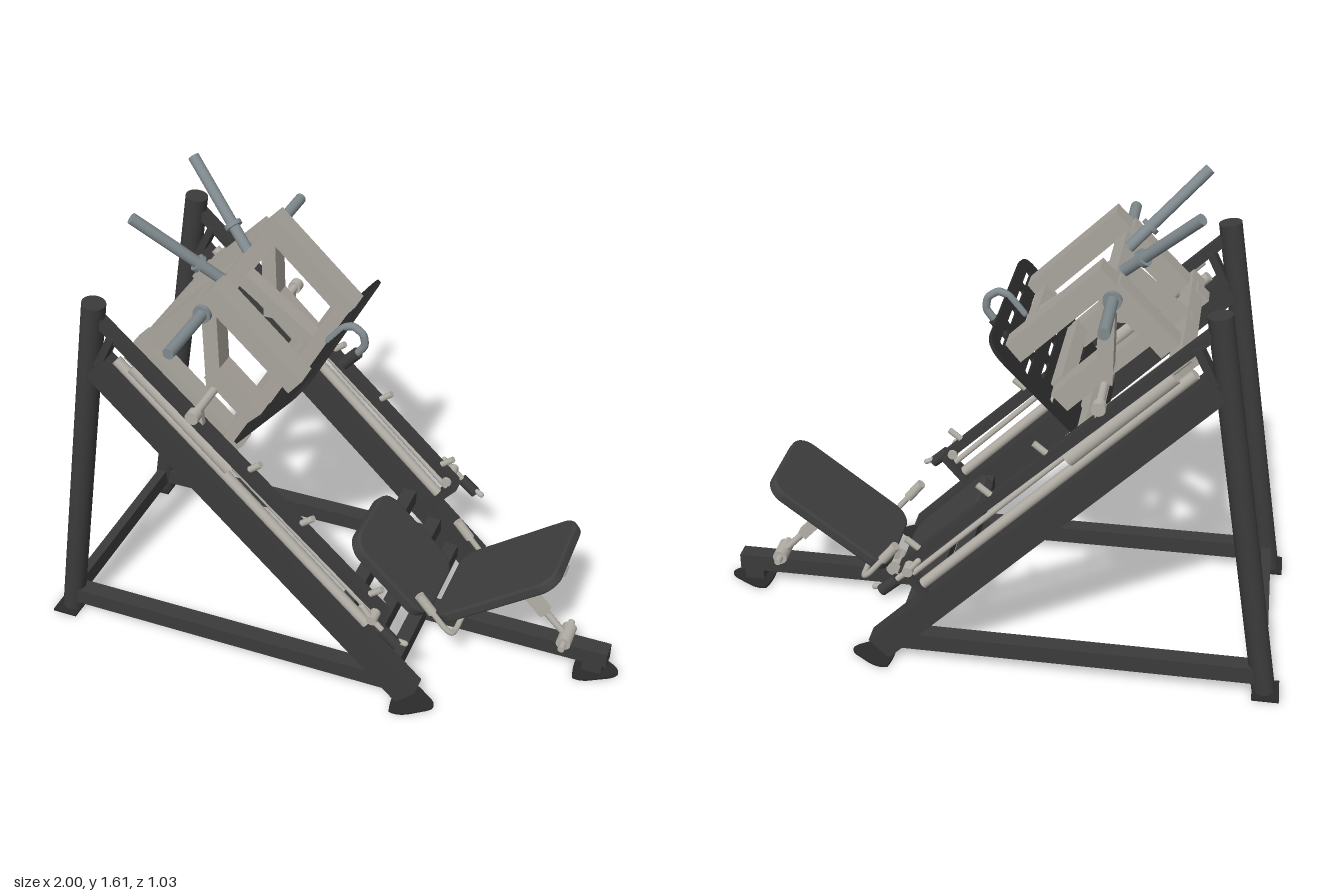
import * as THREE from 'three';

const mat = (color) => new THREE.MeshStandardMaterial({ color });
const V = (p) => new THREE.Vector3(...p);

export function createModel() {
  const root = new THREE.Group();
  const frame = mat(0x3b3b3b), pad = mat(0x404040), beige = mat(0xa9a49d);
  const steel = mat(0xb3afa7), horn = mat(0x7f898d), dark = mat(0x2b2b2b);

  const add = (name, geo, m, parent = root) => {
    const mesh = new THREE.Mesh(geo, m);
    mesh.name = name;
    parent.add(mesh);
    return mesh;
  };
  // Rectangular tube between two points of the side plane, at depth z
  const bar = (name, m, a, b, h, w, z = 0) => {
    const dx = b[0] - a[0], dy = b[1] - a[1];
    const mesh = add(name, new THREE.BoxGeometry(Math.hypot(dx, dy), h, w), m);
    mesh.position.set((a[0] + b[0]) / 2, (a[1] + b[1]) / 2, z);
    mesh.rotation.z = Math.atan2(dy, dx);
    return mesh;
  };
  // Rectangular tube running across the machine, from -half to +half
  const cross = (name, m, x, y, w, h, half, tilt = 0) => {
    const mesh = add(name, new THREE.BoxGeometry(w, h, half * 2), m);
    mesh.position.set(x, y, 0);
    mesh.rotation.z = tilt;
    return mesh;
  };
  // Round rod between two points
  const rod = (name, m, a, b, r, seg = 20) => {
    const d = V(b).sub(V(a));
    const mesh = add(name, new THREE.CylinderGeometry(r, r, d.length(), seg), m);
    mesh.position.copy(V(a)).addScaledVector(d, 0.5);
    mesh.quaternion.setFromUnitVectors(new THREE.Vector3(0, 1, 0), d.normalize());
    return mesh;
  };
  // Bent round tube with capped ends
  const bent = (name, m, pts, r) => {
    const curve = new THREE.CatmullRomCurve3(pts.map(V), false, 'catmullrom', 0.3);
    add(name, new THREE.TubeGeometry(curve, 40, r, 12), m);
    for (const p of [pts[0], pts[pts.length - 1]])
      add(name + 'End', new THREE.SphereGeometry(r, 12, 8), m).position.set(...p);
  };
  const roundedShape = (w, h, r) => {
    const s = new THREE.Shape();
    s.absarc(w / 2 - r, h / 2 - r, r, 0, Math.PI / 2);
    s.absarc(-w / 2 + r, h / 2 - r, r, Math.PI / 2, Math.PI);
    s.absarc(-w / 2 + r, -h / 2 + r, r, Math.PI, Math.PI * 1.5);
    s.absarc(w / 2 - r, -h / 2 + r, r, Math.PI * 1.5, Math.PI * 2);
    s.closePath();
    return s;
  };
  // Upholstered pad: width along z, length along the slope angle
  const cushion = (name, x, y, width, len, thick, angle) => {
    const b = 0.009;
    const geo = new THREE.ExtrudeGeometry(roundedShape(len - 2 * b, width - 2 * b, 0.06), {
      depth: thick - 2 * b, bevelSize: b, bevelThickness: b, bevelSegments: 3, curveSegments: 10 });
    geo.translate(0, 0, b - thick / 2).rotateX(-Math.PI / 2);
    const mesh = add(name, geo, pad);
    mesh.position.set(x, y, 0);
    mesh.rotation.z = angle;
  };
  // Teardrop floor plate, wide end at x, point towards +x
  const footPlate = (x, z, len) => {
    const s = new THREE.Shape();
    s.moveTo(0, -0.075);
    s.quadraticCurveTo(0.03, -0.085, 0.07, -0.06);
    s.lineTo(len - 0.03, -0.035);
    s.quadraticCurveTo(len + 0.03, 0, len - 0.03, 0.035);
    s.lineTo(0.07, 0.06);
    s.quadraticCurveTo(0.03, 0.085, 0, 0.075);
    s.quadraticCurveTo(-0.02, 0, 0, -0.075);
    const geo = new THREE.ExtrudeGeometry(s, { depth: 0.008, bevelEnabled: false });
    add('footPlate', geo.rotateX(-Math.PI / 2), dark).position.set(x, 0, z);
  };

  // Frame, mirrored left and right
  for (const s of [1, -1]) {
    const z = 0.37 * s;
    rod('rearUpright', frame, [-0.948, 0.005, z], [-0.72, 1.355, z], 0.039, 28);
    const plate = add('rearFootPlate', new THREE.BoxGeometry(0.09, 0.008, 0.11), dark);
    plate.position.set(-0.955, 0.004, 0.375 * s);
    bar('baseRail', frame, [-0.93, 0.075], [0.3, 0.075], 0.06, 0.06, z);
    bar('slopedBeam', frame, [-0.73, 1.125], [0.35, 0.035], 0.095, 0.072, z);
    footPlate(0.31, 0.38 * s, 0.135);
    // Guide rods and top rail
    rod('guideRod', steel, [-0.66, 1.155, z], [0.2, 0.295, z], 0.018);
    rod('upperGuideRod', steel, [-0.64, 1.205, z], [0.23, 0.335, z], 0.01);
    rod('carriageSleeve', steel, [-0.6, 1.145, z], [-0.28, 0.825, z], 0.026);
    bar('topRail', frame, [-0.71, 1.3], [0.26, 0.365], 0.032, 0.04, z);
    bar('lowerBracket', frame, [0.17, 0.25], [0.265, 0.36], 0.025, 0.06, z);
    bar('upperBracket', frame, [-0.72, 1.13], [-0.66, 1.25], 0.025, 0.06, z);
    // Safety pegs and stop lever
    for (const [x, y] of [[-0.22, 0.83], [-0.04, 0.66], [0.2, 0.43]])
      rod('safetyPeg', steel, [x, y, z], [x + 0.05, y + 0.04, z], 0.011, 12);
    rod('stopPivot', steel, [0.235, 0.38, 0.34 * s], [0.235, 0.38, 0.435 * s], 0.018);
    bent('stopLever', steel, [[0.2, 0.42, 0.42 * s], [0.235, 0.38, 0.425 * s],
      [0.3, 0.32, 0.425 * s], [0.35, 0.3, 0.415 * s]], 0.01);
    rod('stopGrip', frame, [0.27, 0.345, 0.425 * s], [0.325, 0.295, 0.425 * s], 0.02);
  }
  cross('rearCrossbar', frame, -0.935, 0.075, 0.035, 0.06, 0.36);
  for (const [x, y] of [[0.1, 0.285], [0.2, 0.18], [0.27, 0.075]])
    cross('frontCrossbar', frame, x, y, 0.05, 0.055, 0.36);
  bar('centreRail', frame, [0.25, 0.075], [0.955, 0.075], 0.06, 0.06);
  bar('frontPost', frame, [0.87, 0.03], [0.94, 0.03], 0.055, 0.06);
  footPlate(0.85, 0, 0.145);

  // Seat and backrest
  cushion('seatPad', 0.188, 0.295, 0.32, 0.38, 0.045, -Math.PI / 4);
  bar('seatSupport', frame, [0.08, 0.36], [0.3, 0.14], 0.04, 0.06);
  const tilt = Math.atan2(0.3, 0.4);
  cushion('backPad', 0.575, 0.345, 0.36, 0.51, 0.04, tilt);
  bar('backrestBar', beige, [0.375, 0.135], [0.765, 0.43], 0.05, 0.05);
  const pivots = [[0.375, 0.118, 0.03], [0.625, 0.305, 0.026], [0.8, 0.118, 0.026]];
  for (const [x, y, r] of pivots) rod('backrestPivot', steel, [x, y, -0.045], [x, y, 0.045], r);
  rod('pivotPin', steel, [0.625, 0.305, -0.075], [0.625, 0.305, 0.075], 0.012);
  rod('pivotPin', steel, [0.8, 0.118, -0.075], [0.8, 0.118, 0.075], 0.012);
  bar('backrestStrut', steel, [0.625, 0.305], [0.72, 0.203], 0.036, 0.04);
  rod('strutRod', steel, [0.7, 0.225, 0], [0.8, 0.118, 0], 0.012);

  // Hand grips beside the seat
  rod('gripAxle', steel, [0.45, 0.18, -0.18], [0.45, 0.18, 0.18], 0.01, 12);
  for (const s of [1, -1]) {
    bent('seatGrip', steel, [[0.45, 0.18, 0.16 * s], [0.445, 0.185, 0.198 * s],
      [0.42, 0.21, 0.208 * s], [0.335, 0.315, 0.208 * s]], 0.01);
    rod('gripHandle', steel, [0.375, 0.265, 0.208 * s], [0.325, 0.328, 0.208 * s], 0.017);
  }

  // Carriage sides
  for (const s of [1, -1]) {
    const z = 0.23 * s;
    bar('carriageTopBeam', beige, [-0.378, 1.41], [-0.085, 1.125], 0.075, 0.078, z);
    bar('carriageRearArm', beige, [-0.385, 1.365], [-0.575, 1.175], 0.075, 0.078, z);
    bar('carriagePost', beige, [-0.375, 1.34], [-0.375, 1.04], 0.052, 0.074, z);
    bar('carriageLowerBeam', beige, [-0.38, 1.11], [-0.235, 0.965], 0.075, 0.076, z);
    bar('carriageRunner', beige, [-0.65, 1.16], [-0.3, 0.82], 0.055, 0.07, z);
    // Locking pin on each side
    rod('lockPin', steel, [-0.375, 1.04, 0.26 * s], [-0.375, 1.04, 0.43 * s], 0.014);
    rod('lockKnob', steel, [-0.375, 1.04, 0.4 * s], [-0.375, 1.04, 0.432 * s], 0.023);
    bar('lockLink', steel, [-0.375, 1.04], [-0.37, 0.93], 0.025, 0.02, 0.375 * s);
    // Weight horns with collars
    rod('sideHorn', horn, [-0.392, 1.335, 0.19 * s], [-0.392, 1.335, 0.515 * s], 0.019, 24);
    rod('sideHornCollar', horn, [-0.392, 1.335, 0.27 * s], [-0.392, 1.335, 0.285 * s], 0.03, 24);
    const a = V([-0.39, 1.34, 0.09 * s]), b = V([-0.645, 1.592, 0.22 * s]);
    const at = (t) => a.clone().lerp(b, t).toArray();
    rod('topHorn', horn, at(0), at(1), 0.019, 24);
    rod('topHornCollar', horn, at(0.29), at(0.33), 0.03, 24);
  }
  // Carriage cross members
  const q = Math.PI / 4;
  cross('carriageHornBeam', beige, -0.39, 1.335, 0.055, 0.055, 0.21, q);
  cross('carriageRearBeam', beige, -0.61, 1.15, 0.055, 0.055, 0.345, q);
  cross('carriageLowBeam', beige, -0.32, 0.865, 0.06, 0.06, 0.345, q);
  cross('plateUpperBeam', beige, -0.125, 1.125, 0.05, 0.05, 0.21, q);
  cross('plateLowerBeam', beige, -0.235, 1.0, 0.05, 0.05, 0.21, q);
  bar('carriageCentreArm', beige, [-0.4, 1.33], [-0.61, 1.155], 0.05, 0.05);
  bar('carriageCentreBeam', beige, [-0.39, 1.335], [-0.125, 1.125], 0.05, 0.055);

  // Foot plate: rounded trapezoid with staggered slots
  const outline = new THREE.Shape();
  const corners = [[0.365, 0.265], [-0.365, 0.265], [-0.285, -0.265], [0.285, -0.265]].map(
    (p) => new THREE.Vector2(...p));
  corners.forEach((c, i) => {
    const before = corners[(i + 3) % 4], after = corners[(i + 1) % 4], r = 0.09;
    const p = c.clone().add(before.clone().sub(c).setLength(r));
    const n = c.clone().add(after.clone().sub(c).setLength(r));
    i ? outline.lineTo(p.x, p.y) : outline.moveTo(p.x, p.y);
    outline.quadraticCurveTo(c.x, c.y, n.x, n.y);
  });
  outline.closePath();
  for (let row = 0; row < 8; row++) {
    const y = 0.217 - row * 0.062;
    const centres = row % 2 ? [-0.16, 0, 0.16] : [-0.23, -0.077, 0.077, 0.23];
    for (const x of centres) {
      const hole = new THREE.Path(), l = 0.048, r = 0.01;
      if (Math.abs(x) + l + r > 0.305 + y * 0.15) continue;
      hole.absarc(x + l, y, r, -Math.PI / 2, Math.PI / 2);
      hole.absarc(x - l, y, r, Math.PI / 2, Math.PI * 1.5);
      hole.closePath();
      outline.holes.push(hole);
    }
  }
  const plateGeo = new THREE.ExtrudeGeometry(outline, { depth: 0.012, bevelEnabled: false, curveSegments: 8 });
  plateGeo.rotateY(Math.PI / 2);
  const plate = add('footPressPlate', plateGeo, dark);
  plate.position.set(-0.195, 0.999, 0);
  plate.rotation.z = -0.7;

  // Hooked handle at the top of the foot plate
  bent('hookHandle', horn, [[-0.08, 1.14, 0], [-0.03, 1.2, 0], [0.005, 1.213, 0], [0.038, 1.19, 0],
    [0.044, 1.15, 0], [0.02, 1.115, 0], [-0.025, 1.065, 0]], 0.013);
  rod('hookGrip', frame, [0.02, 1.115, 0], [-0.03, 1.06, 0], 0.02);
  return root;
}
